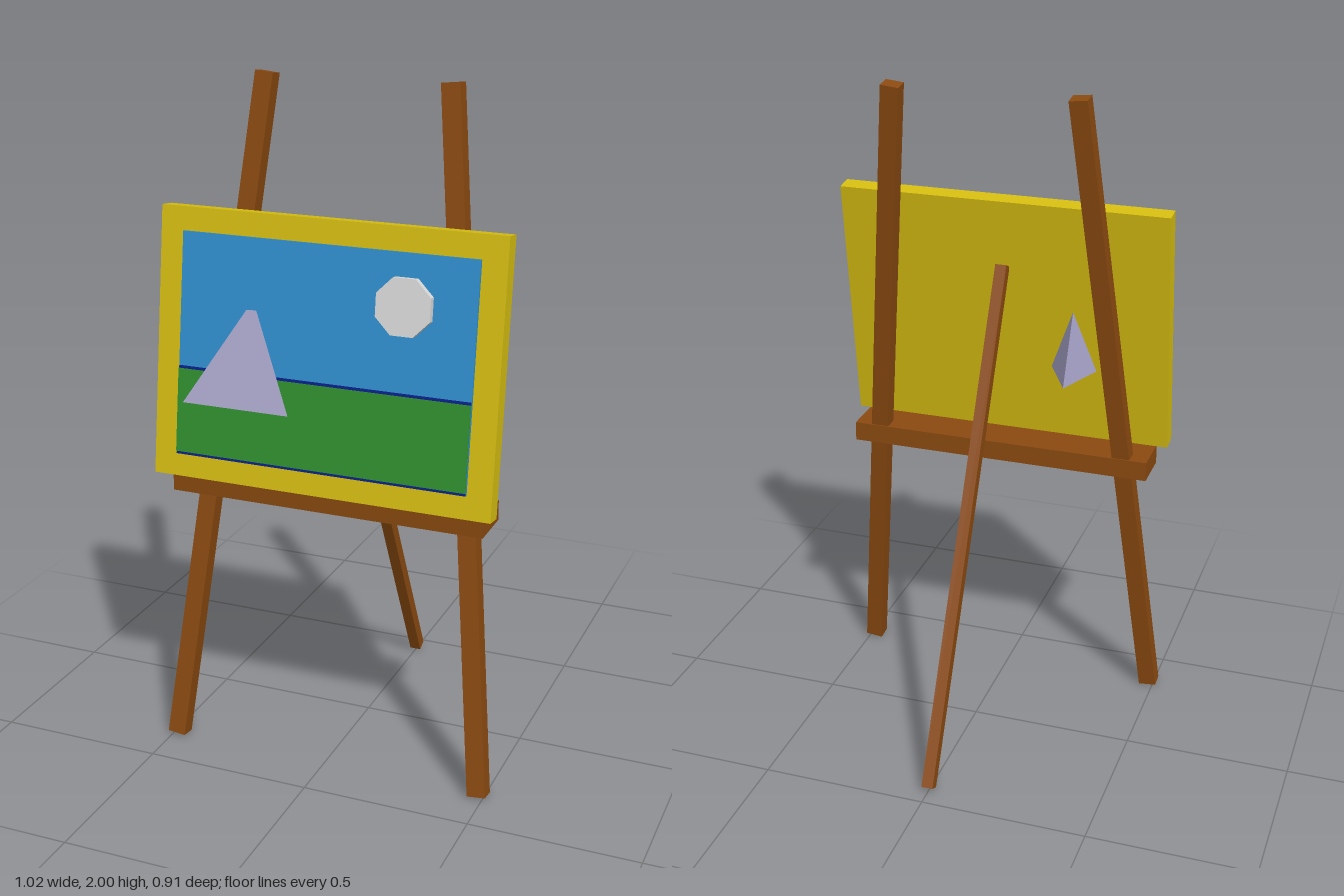
import * as THREE from 'three';

const mat = (name, color) => {
  const m = new THREE.MeshStandardMaterial({ color });
  m.name = name;
  return m;
};

export function createModel() {
  const wood = mat('wood', 0x8b4a10);
  const gold = mat('goldFrame', 0xd6be10);
  const sky = mat('skyBlue', 0x3090d0);
  const grass = mat('grassGreen', 0x309030);
  const navy = mat('navy', 0x08208a);
  const stone = mat('mountainLavender', 0xa09cc0);
  const pale = mat('moonGrey', 0xdadada);

  const model = new THREE.Group();
  model.name = 'easel';

  const add = (parent, name, geometry, material, x, y, z) => {
    const mesh = new THREE.Mesh(geometry, material);
    mesh.name = name;
    mesh.position.set(x, y, z);
    parent.add(mesh);
    return mesh;
  };

  // A square beam running between two points
  const beam = (name, from, to, width, depth) => {
    const a = new THREE.Vector3(...from);
    const b = new THREE.Vector3(...to);
    const dir = b.clone().sub(a);
    const mid = a.clone().add(b).multiplyScalar(0.5);
    const mesh = add(model, name, new THREE.BoxGeometry(width, dir.length(), depth), wood, mid.x, mid.y, mid.z);
    mesh.quaternion.setFromUnitVectors(new THREE.Vector3(0, 1, 0), dir.normalize());
  };

  // Splayed front legs, rear prop and tray
  for (const [side, s] of [['left', 1], ['right', -1]]) {
    beam(side + 'FrontLeg', [s * 0.484, 0.006, 0.354], [s * 0.275, 1.994, 0.073], 0.055, 0.047);
  }
  beam('rearLeg', [0, 0.012, -0.44], [0, 1.43, 0.246], 0.035, 0.035);
  add(model, 'tray', new THREE.BoxGeometry(0.95, 0.06, 0.14), wood, 0, 0.835, 0.275);

  // Picture leaning back with the legs
  const picture = new THREE.Group();
  picture.name = 'picture';
  picture.position.set(0, 1.2525, 0.308);
  picture.rotation.x = -0.14;
  model.add(picture);
  const face = 0.0275;
  add(picture, 'frame', new THREE.BoxGeometry(1.02, 0.775, face * 2), gold, 0, 0, 0);
  add(picture, 'skyPanel', new THREE.BoxGeometry(0.876, 0.64, 0.016), sky, 0, 0, face);
  add(picture, 'grassPanel', new THREE.BoxGeometry(0.874, 0.242, 0.012), grass, 0, -0.191, face + 0.008);
  add(picture, 'horizonLine', new THREE.BoxGeometry(0.874, 0.008, 0.004), navy, 0, -0.066, face + 0.008);
  add(picture, 'lowerLine', new THREE.BoxGeometry(0.874, 0.008, 0.004), navy, 0, -0.316, face + 0.008);

  // Three-sided mountain passing through the panel
  const peak = new THREE.CylinderGeometry(0.018, 0.185, 0.265, 3, 1, false, Math.PI).toNonIndexed();
  peak.computeVertexNormals();
  const mountain = add(model, 'mountain', peak, stone, -0.215, 1.243, 0.344);
  mountain.rotation.x = -0.14;

  // Octagonal moon
  const disc = new THREE.CylinderGeometry(0.085, 0.085, 0.03, 8, 1, false, Math.PI / 8).toNonIndexed();
  disc.computeVertexNormals();
  const moon = add(picture, 'moon', disc, pale, 0.235, 0.175, face + 0.014);
  moon.rotation.x = Math.PI / 2;

  return model;
}
